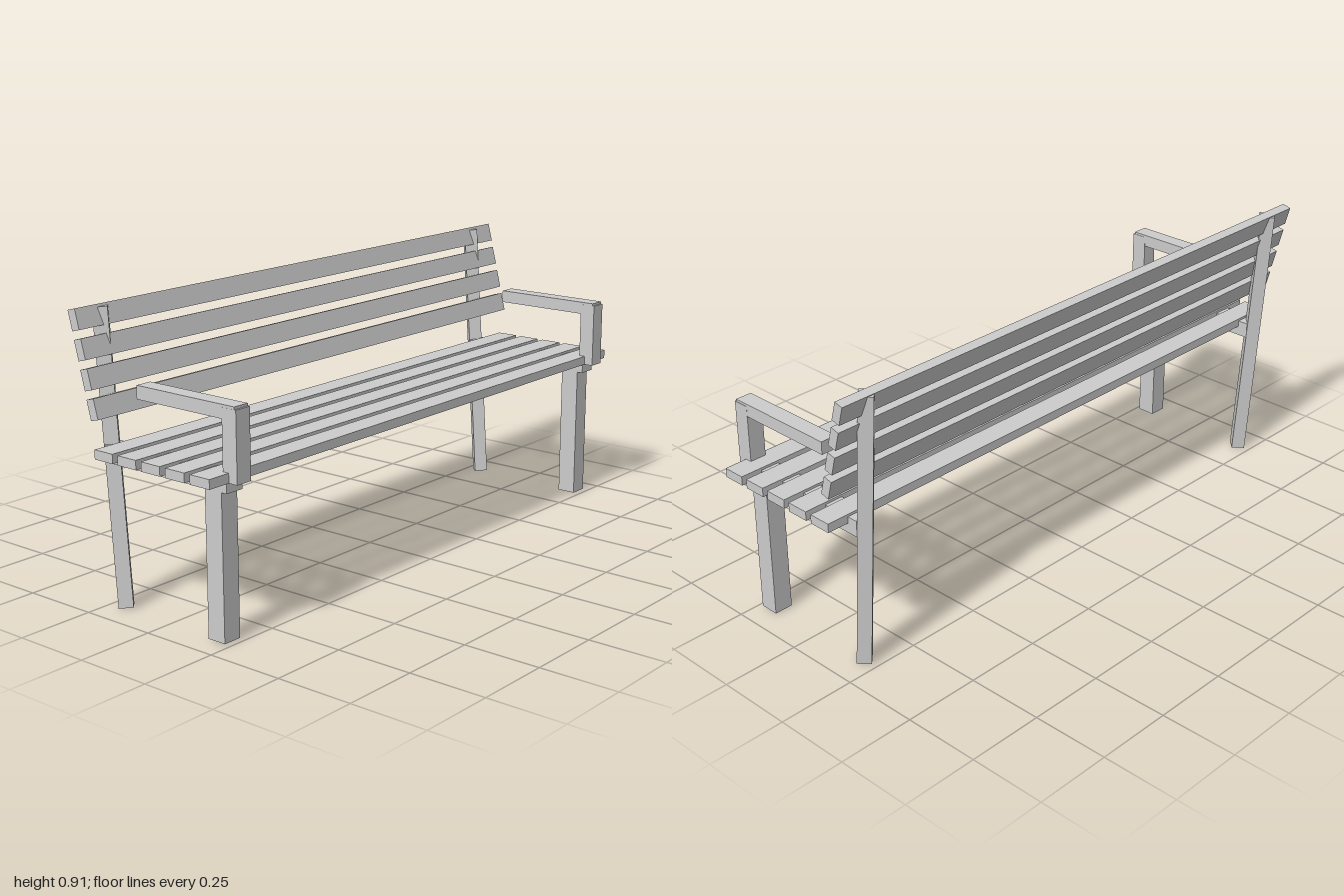
import * as THREE from 'three';

export function createModel() {
  const bench = new THREE.Group();
  bench.name = 'bench';
  const paint = new THREE.MeshStandardMaterial({ color: 0xcccccc });
  paint.name = 'light grey';

  // Box given by its x centre and width, and its y and z ranges
  function box(name, x, width, y0, y1, z0, z1) {
    const mesh = new THREE.Mesh(new THREE.BoxGeometry(width, y1 - y0, z1 - z0), paint);
    mesh.position.set(x, (y0 + y1) / 2, (z0 + z1) / 2);
    mesh.name = name;
    bench.add(mesh);
    return mesh;
  }

  // Seat slats, front to back
  for (let i = 0; i < 5; i++) {
    const z = 0.223 - i * 0.095;
    box('seatSlat', 0, 2, 0.479, 0.508, z - 0.037, z + 0.037);
  }

  // Leaning backrest slats, bottom to top
  for (let i = 0; i < 4; i++) {
    const slat = box('backSlat', 0, 2, -0.031, 0.031, -0.015, 0.015);
    slat.position.set(0, 0.624 + i * 0.0837, -0.196 - i * 0.021);
    slat.rotation.x = -0.262;
  }

  // Four-sided post turned so that its edges face front and back
  const postGeometry = new THREE.CylinderGeometry(0.0315, 0.0315, 0.9, 4).toNonIndexed();
  postGeometry.computeVertexNormals();

  for (const [side, x] of [['left', 0.897], ['right', -0.897]]) {
    box(side + 'FrontLeg', x, 0.062, 0.004, 0.45, 0.171, 0.234);
    box(side + 'SeatRail', x, 0.062, 0.448, 0.5, -0.23, 0.254);
    box(side + 'ArmSupport', x, 0.055, 0.479, 0.69, 0.238, 0.291);
    box(side + 'Armrest', x, 0.054, 0.657, 0.698, -0.093, 0.285);

    const post = new THREE.Mesh(postGeometry, paint);
    post.name = side + 'BackPost';
    post.position.set(x, 0.451, -0.23);
    post.rotation.x = -0.07;
    bench.add(post);
  }
  return bench;
}
